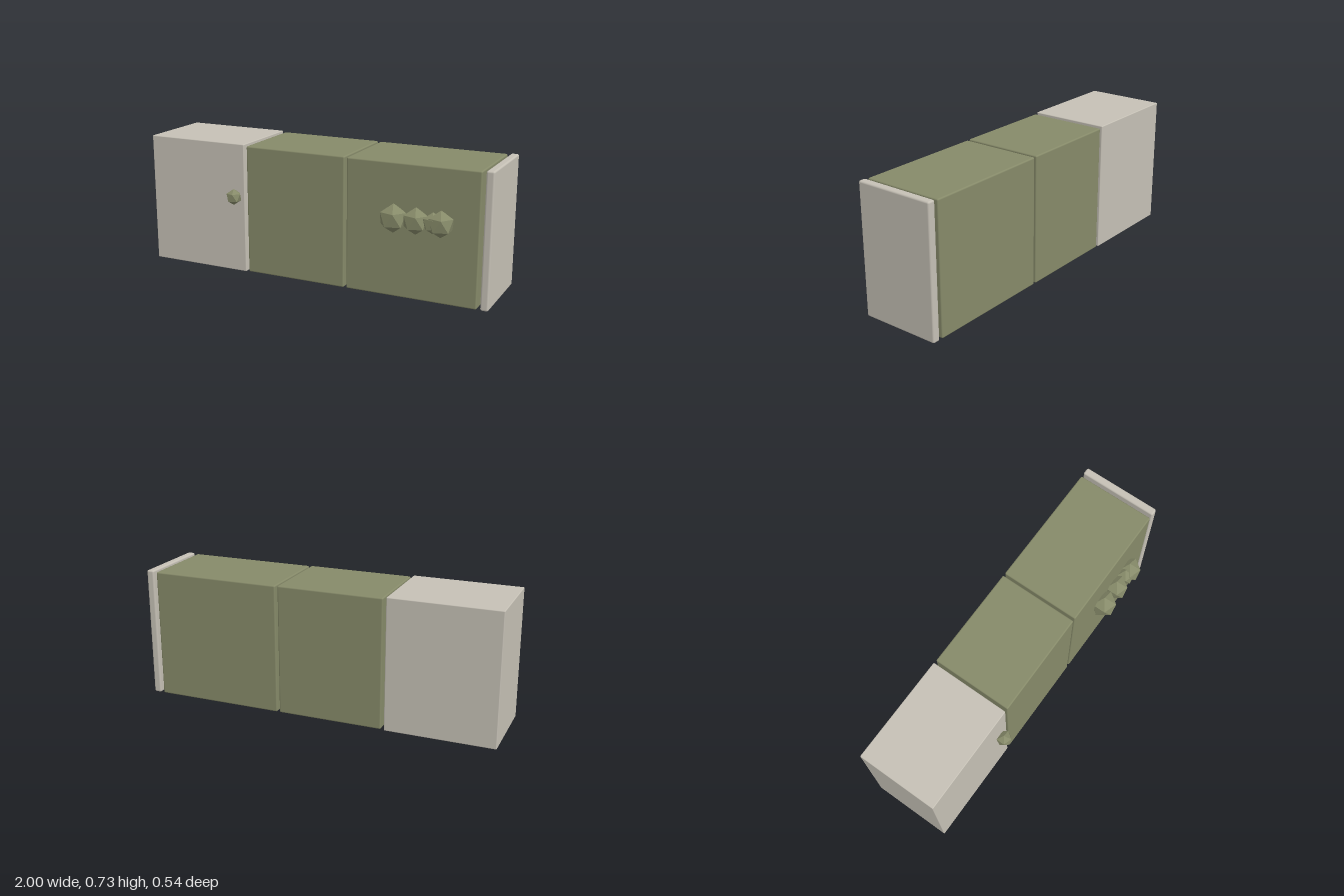
import * as THREE from 'three';
import { RoundedBoxGeometry } from 'three/addons/geometries/RoundedBoxGeometry.js';
import { ConvexGeometry } from 'three/addons/geometries/ConvexGeometry.js';

// Icosahedron standing on a vertex: two poles and two staggered rings of five
function knobGeometry(r) {
  const points = [new THREE.Vector3(0, r, 0), new THREE.Vector3(0, -r, 0)];
  for (let i = 0; i < 10; i++) {
    const a = (i * Math.PI) / 5;
    const y = i % 2 ? -0.4472 : 0.4472;
    points.push(new THREE.Vector3(0.8944 * Math.cos(a), y, 0.8944 * Math.sin(a)).multiplyScalar(r));
  }
  return new ConvexGeometry(points);
}

export function createModel() {
  const group = new THREE.Group();
  const beige = new THREE.MeshStandardMaterial({ color: 0xc5c0b5 });
  beige.name = 'beige';
  const olive = new THREE.MeshStandardMaterial({ color: 0x868a69 });
  olive.name = 'olive green';

  // Bevelled blocks in a row: x range, y range, bevel
  const zBack = -0.27, zFront = 0.18;
  const block = (name, x0, x1, y0, y1, bevel, material) => {
    const geo = new RoundedBoxGeometry(x1 - x0, y1 - y0, zFront - zBack, 2, bevel);
    const mesh = new THREE.Mesh(geo, material);
    mesh.position.set((x0 + x1) / 2, (y0 + y1) / 2, (zBack + zFront) / 2);
    mesh.name = name;
    group.add(mesh);
  };
  block('tallCabinet', -1, -0.4, 0, 0.728, 0.005, beige);
  block('middleCabinet', -0.383, 0.203, 0.003, 0.721, 0.008, olive);
  block('wideCabinet', 0.217, 0.939, 0.003, 0.719, 0.008, olive);
  block('endPanel', 0.957, 1, 0.002, 0.724, 0.01, beige);

  // Faceted knobs half sunk into the fronts: x, radius
  const knobs = [[-0.455, 0.045], [0.49, 0.0775], [0.612, 0.072], [0.703, 0.057], [0.745, 0.072]];
  knobs.forEach(([x, r], i) => {
    const mesh = new THREE.Mesh(knobGeometry(r), olive);
    mesh.position.set(x, 0.434, 0.203);
    mesh.name = 'knob' + (i + 1);
    group.add(mesh);
  });
  return group;
}
